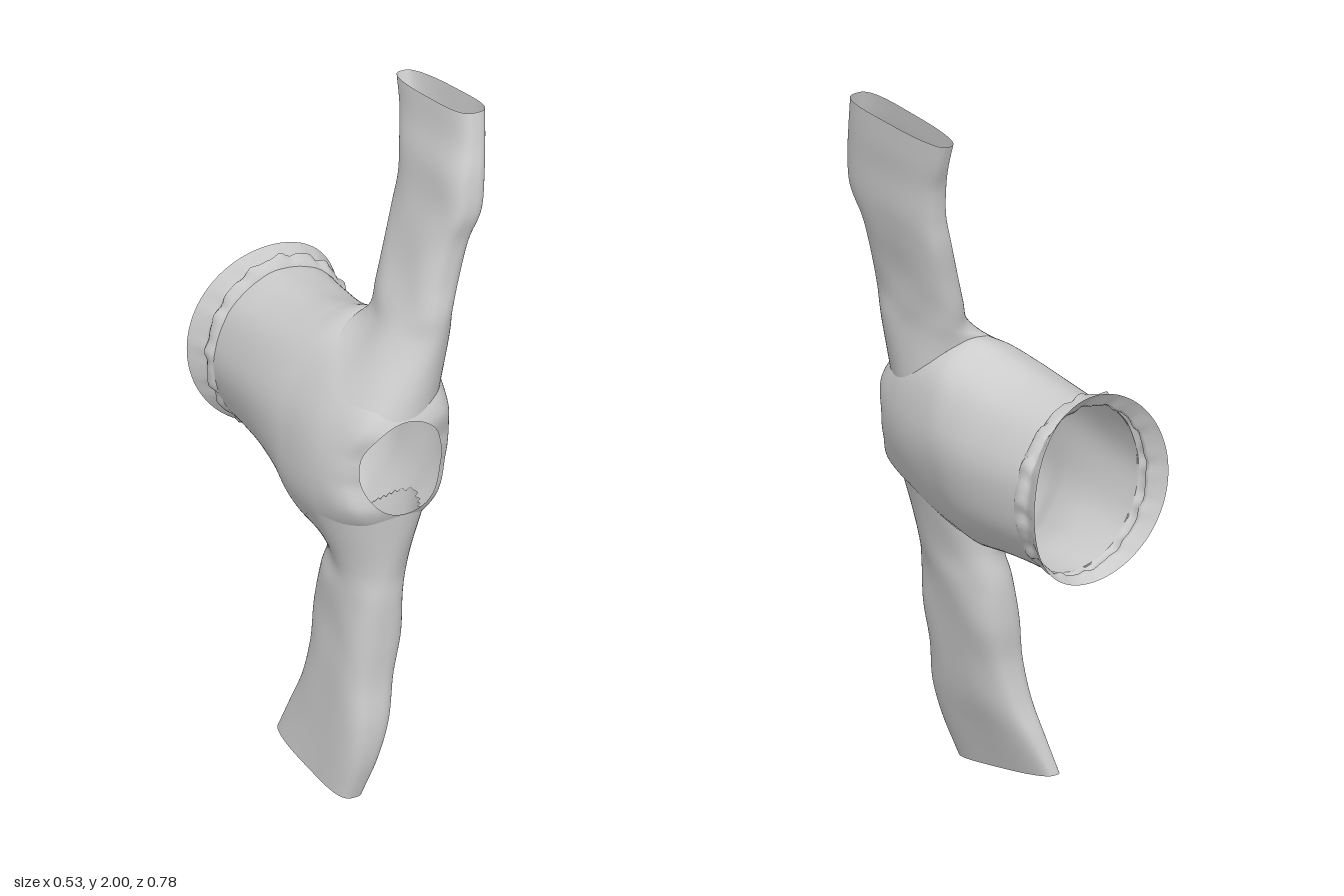
import * as THREE from 'three';

const CY = 1.02, SEG = 112;
const { smoothstep } = THREE.MathUtils;
const material = new THREE.MeshStandardMaterial({ color: 0xcccccc, side: THREE.DoubleSide });

// Smooth interpolation through rows [t, a, b, ...]; returns [a, b, ...]
function sample(rows, t) {
  let i = 0;
  while (i < rows.length - 2 && t > rows[i + 1][0]) i++;
  const p = rows[i], q = rows[i + 1], h = q[0] - p[0];
  const u = THREE.MathUtils.clamp((t - p[0]) / h, 0, 1);
  const slope = (k, c) => {
    const a = rows[Math.max(k - 1, 0)], b = rows[Math.min(k + 1, rows.length - 1)];
    return (b[c] - a[c]) / (b[0] - a[0]);
  };
  return p.slice(1).map((v, k) => {
    const c = k + 1, u2 = u * u, u3 = u2 * u;
    return v * (2 * u3 - 3 * u2 + 1) + q[c] * (3 * u2 - 2 * u3)
      + h * (slope(i, c) * (u3 - 2 * u2 + u) + slope(i + 1, c) * (u3 - u2));
  });
}

// Skin closed rings of points; quads whose corners are all marked in holes are left out
function skin(name, rings, holes) {
  const n = rings[0].length, index = [];
  for (let r = 0; r < rings.length - 1; r++) {
    for (let s = 0; s < n; s++) {
      const t = (s + 1) % n;
      if (holes && holes[r][s] && holes[r][t] && holes[r + 1][s] && holes[r + 1][t]) continue;
      const a = r * n + s, b = r * n + t, c = b + n, d = a + n;
      index.push(a, b, c, a, c, d);
    }
  }
  const g = new THREE.BufferGeometry().setFromPoints(rings.flat());
  g.setIndex(index);
  g.computeVertexNormals();
  const mesh = new THREE.Mesh(g, material);
  mesh.name = name;
  return mesh;
}

const ring = (n, f) => Array.from({ length: n }, (_, i) => f(i / n * Math.PI * 2));
const power = (v, e) => Math.sign(v) * Math.abs(v) ** e;

// Torso sections: z, centre x, half width, half height, lean of x with height
const TORSO = [
  [-0.29, -0.03, 0.203, 0.238, 0], [-0.2, -0.028, 0.203, 0.242, 0], [-0.1, -0.027, 0.203, 0.254, 0.01],
  [0, -0.026, 0.201, 0.28, 0.07], [0.08, -0.026, 0.197, 0.305, 0.15], [0.2, -0.026, 0.192, 0.285, 0.18],
  [0.28, -0.025, 0.177, 0.25, 0.17], [0.33, -0.022, 0.154, 0.2, 0.1], [0.357, -0.02, 0.12, 0.14, 0],
];

function torsoPoint(z, a) {
  const [cx, rx, ry, lean] = sample(TORSO, z);
  // shallow lengthwise folds, fading out toward the neck
  const fold = 1 + 0.006 * Math.sin(a * 9 + z * 5) * smoothstep(0.3 - z, 0, 0.2);
  const dy = ry * fold * Math.sin(a);
  return new THREE.Vector3(cx + rx * fold * Math.cos(a) + lean * dy, CY + dy, z);
}

// Push the cloth forward above and below the neck opening
function neckBulge(p) {
  const d = Math.abs(p.y - CY);
  p.z += 0.032 * smoothstep(p.z, 0.25, 0.357) * smoothstep(d, 0.03, 0.13) * (1 - 0.5 * smoothstep(d, 0.14, 0.24));
  return p;
}

// Armhole outline, an ellipse across the top (and bottom) of the leaning torso
const ARMHOLE = { z: 0.219, rx: 0.145, rz: 0.136 };

function insideArmhole(p) {
  const [cx, , , lean] = sample(TORSO, p.z);
  const u = p.x - cx - lean * (p.y - CY);
  return Math.hypot(u / ARMHOLE.rx, (p.z - ARMHOLE.z) / ARMHOLE.rz) < 0.99;
}

// Sleeve sections: y, centre x, half thickness, back z, front z, slant of x along z
const UPPER = [
  [1.36, 0.075, 0.091, 0.085, 0.362, 0.04], [1.43, 0.092, 0.076, 0.075, 0.36, 0.04],
  [1.52, 0.117, 0.065, 0.068, 0.347, 0.04], [1.63, 0.147, 0.059, 0.055, 0.347, 0.05],
  [1.72, 0.169, 0.057, 0.052, 0.367, 0.08], [1.82, 0.181, 0.054, 0.038, 0.358, 0.1],
  [1.9, 0.196, 0.046, 0.008, 0.335, 0.13], [1.98, 0.204, 0.043, -0.02, 0.315, 0.15],
];
const LOWER = [
  [0.68, -0.05, 0.096, 0.085, 0.362, -0.02], [0.6, -0.06, 0.088, 0.068, 0.362, 0],
  [0.48, -0.072, 0.081, 0.062, 0.358, 0.02], [0.36, -0.09, 0.073, 0.068, 0.355, 0.04],
  [0.24, -0.108, 0.067, 0.05, 0.367, 0.06], [0.14, -0.13, 0.055, 0.018, 0.36, 0.08],
  [0.03, -0.157, 0.041, -0.015, 0.33, 0.1],
];

function sleeve(name, side, rows) {
  const strips = ring(72, a => {
    const c = Math.cos(a), s = Math.sin(a);
    // first point sits on the torso surface
    const u = ARMHOLE.rx * c, z = ARMHOLE.z + ARMHOLE.rz * s;
    const [cx, rx, ry, lean] = sample(TORSO, z);
    const dy = side * ry * Math.sqrt(1 - (u / rx) ** 2);
    const points = [neckBulge(new THREE.Vector3(cx + u + lean * dy, CY + dy, z))];
    rows.forEach(([y, x, t, z0, z1, slant], i) => {
      // sections become squarer toward the cuff, fuller at the front edge
      const k = i / (rows.length - 1), e = 1 - 0.35 * Math.min(1, 2.5 * k);
      const dz = (z1 - z0) / 2 * power(s, e);
      const dx = t * power(c, e) * (1 + 0.15 * k * s) * (1 + 0.05 * Math.sin(i * 2.3 + s * 4) * (1 - k));
      const tilt = side * k * k * 0.136 * dz;
      points.push(new THREE.Vector3(x + dx + slant * dz, y + tilt, (z0 + z1) / 2 + dz));
    });
    return new THREE.CatmullRomCurve3(points).getPoints(48);
  });
  // turn lengthwise strips into rings
  return skin(name, strips[0].map((_, r) => strips.map(strip => strip[r])));
}

// Hem rows: z, half width, centre x, half height, centre y, pucker
const HEM = [
  [-0.285, 0.203, -0.03, 0.238, 1.02, 0], [-0.292, 0.207, -0.032, 0.248, 1.026, 0.012],
  [-0.304, 0.211, -0.035, 0.256, 1.032, 0.02], [-0.313, 0.206, -0.034, 0.249, 1.03, 0.015],
  [-0.316, 0.2, -0.031, 0.236, 1.022, 0.012], [-0.322, 0.203, -0.032, 0.241, 1.024, 0.008],
  [-0.334, 0.217, -0.036, 0.255, 1.029, 0.004], [-0.346, 0.228, -0.04, 0.267, 1.032, 0],
];

export function createModel() {
  const group = new THREE.Group();
  group.name = 'garment';

  // Torso tube with armholes cut out, ending at the neck opening
  const rows = 110, torso = [];
  for (let i = 0; i <= rows; i++) {
    const z = -0.29 + 0.647 * i / rows;
    torso.push(ring(SEG, a => torsoPoint(z, a)));
  }
  const armholes = torso.map(r => r.map(insideArmhole));
  torso.flat().forEach(neckBulge);
  group.add(skin('torso', torso, armholes));

  group.add(sleeve('leftSleeve', 1, UPPER));
  group.add(sleeve('rightSleeve', -1, LOWER));

  // Hem: gathered roll, then a flared band with a wavy rim
  group.add(skin('hem', HEM.map(([z, rx, cx, ry, cy, pucker], i) => ring(SEG, a => {
    const c = Math.cos(a), s = Math.sin(a);
    const w = 1 + pucker * (Math.sin(a * 17) + 0.6 * Math.sin(a * 29 + 1));
    const wave = (0.036 + 0.01 * c) * c * c * (i / (HEM.length - 1)) ** 2;
    return new THREE.Vector3(cx + rx * w * c, cy + ry * w * s, z - wave);
  }))));

  return group;
}
